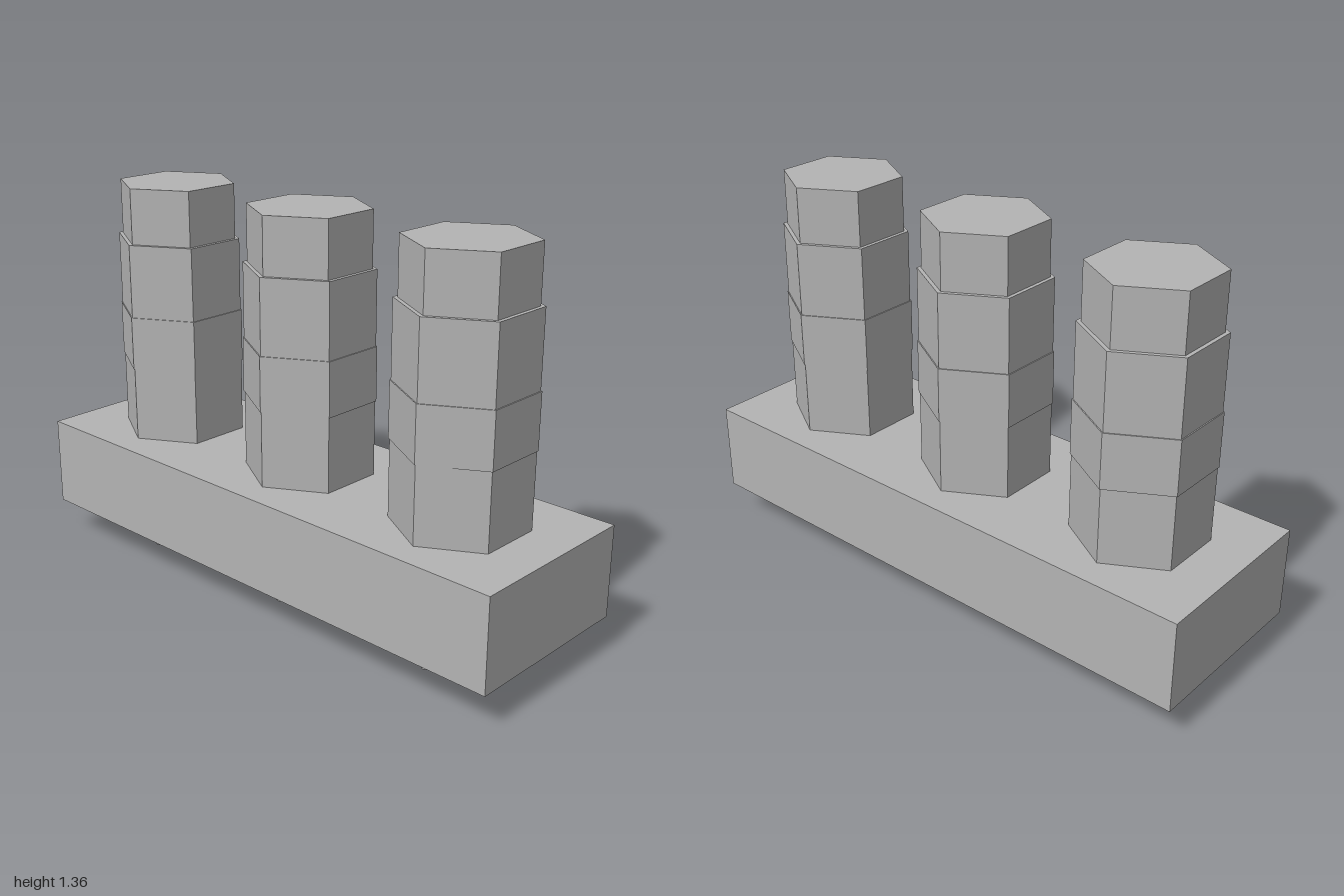
import * as THREE from 'three';

export function createModel() {
  const model = new THREE.Group();
  const grey = new THREE.MeshStandardMaterial({ color: 0xb4b4b4, flatShading: true });
  grey.name = 'grey';

  // Rectangular base block
  const base = new THREE.Mesh(new THREE.BoxGeometry(2, 0.32, 0.645), grey);
  base.name = 'baseBlock';
  base.position.y = 0.29;
  model.add(base);

  // Hexagonal prism between two heights, corners pointing along z
  function hexPrism(name, radius, bottom, top) {
    const mesh = new THREE.Mesh(new THREE.CylinderGeometry(radius, radius, top - bottom, 6), grey);
    mesh.name = name;
    mesh.position.y = (bottom + top) / 2;
    return mesh;
  }

  // Three identical stepped posts, each with a foot under the base
  for (const x of [-0.644, 0, 0.644]) {
    const post = new THREE.Group();
    post.name = 'post';
    post.position.x = x;
    post.add(
      hexPrism('foot', 0.16, 0, 0.13),
      hexPrism('lowerShaft', 0.225, 0.45, 0.713),
      hexPrism('collar', 0.229, 0.713, 0.903),
      hexPrism('upperShaft', 0.225, 0.903, 1.162),
      hexPrism('cap', 0.21, 1.162, 1.356)
    );
    model.add(post);
  }
  return model;
}
